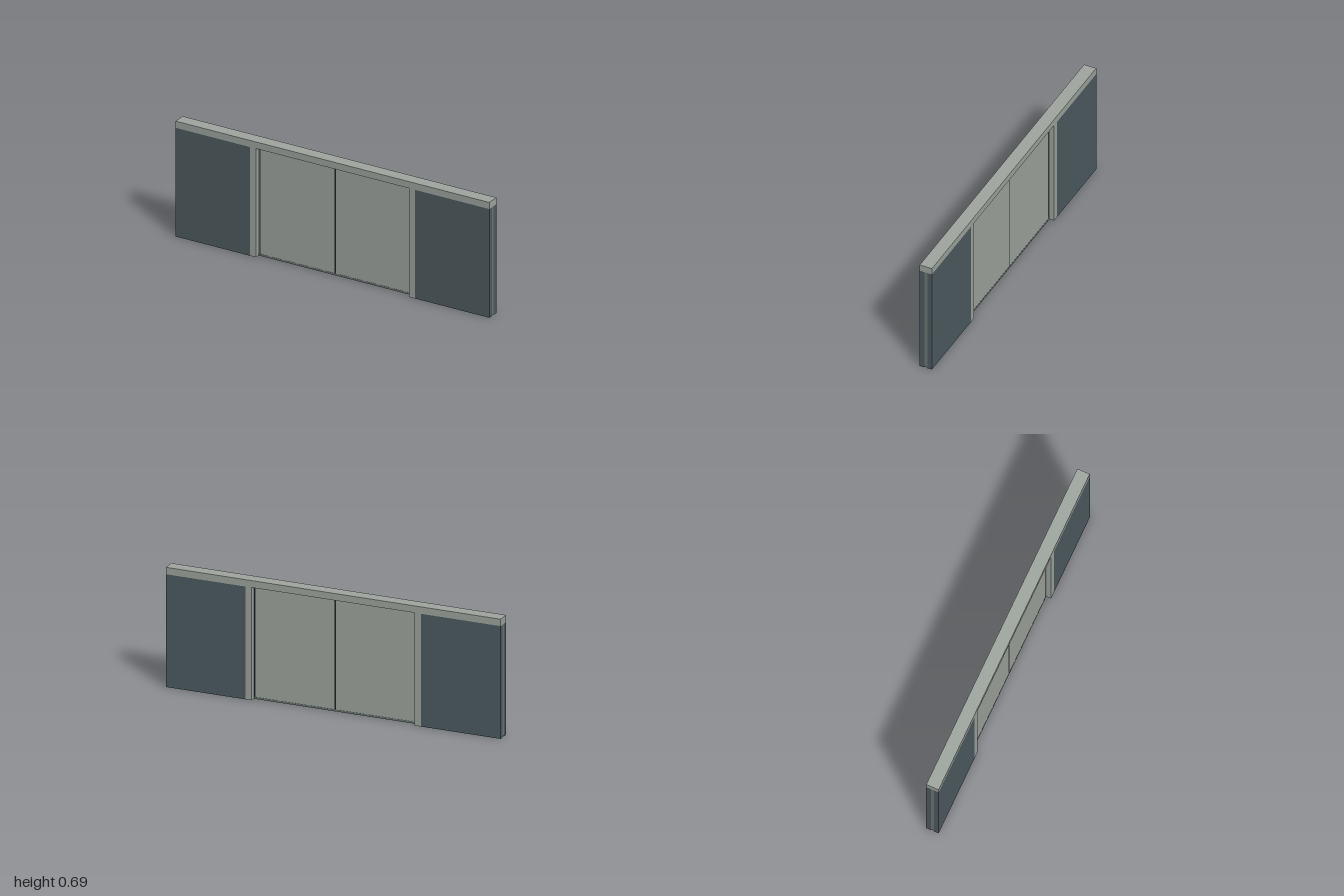
import * as THREE from 'three';

const paleMetal = new THREE.MeshStandardMaterial({ name: 'paleMetal', color: 0xa0a6a0 });
const slateWall = new THREE.MeshStandardMaterial({ name: 'slateWall', color: 0x4e5c61 });
const trackGrey = new THREE.MeshStandardMaterial({ name: 'trackGrey', color: 0x6e7876 });
const darkSeal = new THREE.MeshStandardMaterial({ name: 'darkSeal', color: 0x232e33 });

const HALF_DEPTH = 0.037; // half the wall thickness
const SLOT = 0.009;       // half the width of the door pocket
const WALL_TOP = 0.65;
const TOP = 0.69;

export function createModel() {
  const model = new THREE.Group();
  model.name = 'slidingDoorWall';

  // Box given by its minimum and maximum on each axis
  function box(name, material, [x0, x1], [y0, y1], [z0, z1]) {
    const mesh = new THREE.Mesh(new THREE.BoxGeometry(x1 - x0, y1 - y0, z1 - z0), material);
    mesh.position.set((x0 + x1) / 2, (y0 + y1) / 2, (z0 + z1) / 2);
    mesh.name = name;
    model.add(mesh);
  }
  const span = (a, b, side) => (side > 0 ? [a, b] : [-b, -a]);

  // Full-length header beam
  box('header', paleMetal, [-1, 1], [WALL_TOP, TOP], [-HALF_DEPTH, HALF_DEPTH]);

  for (const x of [-1, 1]) {
    const label = x > 0 ? 'left' : 'right';

    // Front and back wall skins with a jamb at the opening
    for (const z of [-1, 1]) {
      const face = z > 0 ? 'Front' : 'Back';
      const depth = span(SLOT, HALF_DEPTH, z);
      box(label + face + 'Wall', slateWall, span(0.525, 1, x), [0, WALL_TOP], depth);
      box(label + face + 'Jamb', paleMetal, span(0.487, 0.525, x), [0, WALL_TOP], depth);
    }

    // Recessed core between the skins
    box(label + 'PocketCore', trackGrey, span(0.487, 0.998, x), [0.003, WALL_TOP], [-SLOT, SLOT]);

    // Sliding door leaf
    box(label + 'Door', paleMetal, span(0.004, 0.476, x), [0.011, 0.642], [-0.008, 0.008]);
  }

  // Seals where the leaves meet and beside the jambs
  box('centreSeal', darkSeal, [-0.004, 0.004], [0.011, 0.642], [-0.006, 0.006]);
  box('leftEdgeSeal', darkSeal, [0.476, 0.487], [0.011, 0.642], [-0.005, 0.005]);
  box('rightEdgeSeal', darkSeal, [-0.481, -0.476], [0.011, 0.642], [-0.005, 0.005]);
  box('rightEdgeGuide', trackGrey, [-0.487, -0.481], [0.011, 0.642], [-0.005, 0.005]);

  // Tracks above and below the doors
  box('topTrack', trackGrey, [-0.487, 0.487], [0.642, WALL_TOP], [-SLOT, SLOT]);
  box('floorTrack', trackGrey, [-0.487, 0.487], [0, 0.011], [-SLOT, SLOT]);

  return model;
}
